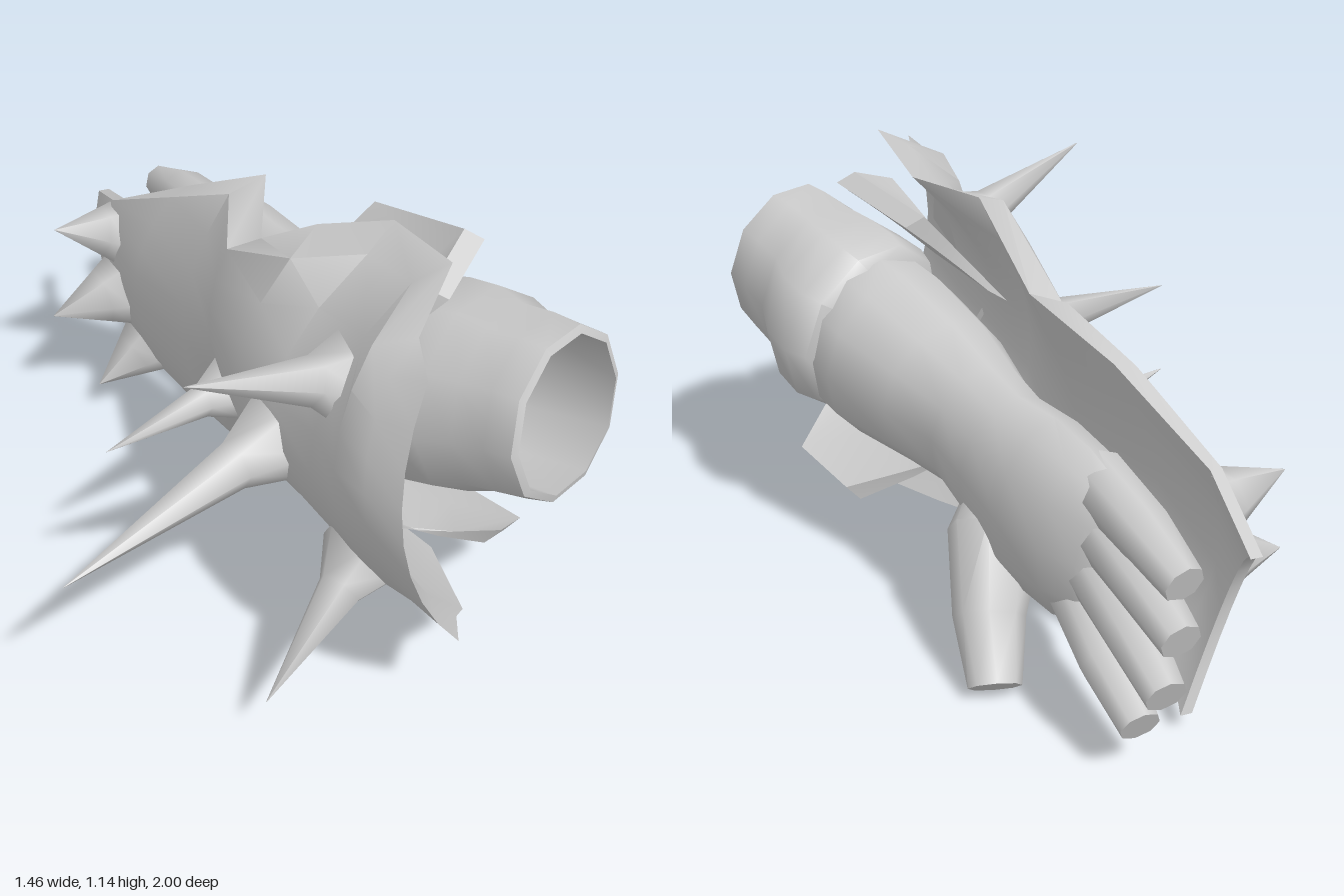
import * as THREE from 'three';
import { toCreasedNormals } from 'three/addons/utils/BufferGeometryUtils.js';

const V = (p) => new THREE.Vector3(...p);
const UP = V([0, 1, 0]);
const material = new THREE.MeshStandardMaterial({ color: 0xcccccc, side: THREE.DoubleSide });

// Skin a list of closed rings and close both ends
function loft(name, rings, crease = 0.9) {
  const n = rings[0].length;
  const positions = rings.flat().flatMap((p) => p.toArray());
  const index = [];
  for (let i = 0; i < rings.length - 1; i++) {
    for (let j = 0; j < n; j++) {
      const a = i * n + j, b = i * n + (j + 1) % n;
      index.push(a, b, b + n, a, b + n, a + n);
    }
  }
  const last = (rings.length - 1) * n;
  // caps are zipped across, so crescent-shaped rings close cleanly
  for (let j = 0; j < n / 2 - 1; j++) {
    const k = n - 1 - j;
    index.push(j, k, k - 1, j, k - 1, j + 1);
    index.push(last + j, last + k - 1, last + k, last + j, last + j + 1, last + k - 1);
  }
  const g = new THREE.BufferGeometry();
  g.setAttribute('position', new THREE.Float32BufferAttribute(positions, 3));
  g.setIndex(index);
  const mesh = new THREE.Mesh(toCreasedNormals(g, crease), material);
  mesh.name = name;
  return mesh;
}

// Elliptical ring around a centre, a = sideways radius, b = upright radius
function ring(c, dir, a, b, sides) {
  const d = dir.clone().normalize();
  const h = new THREE.Vector3().crossVectors(UP, d).normalize();
  const v = new THREE.Vector3().crossVectors(d, h);
  return Array.from({ length: sides }, (_, j) => {
    const t = (j / sides) * Math.PI * 2;
    return c.clone().addScaledVector(h, a * Math.cos(t)).addScaledVector(v, b * Math.sin(t));
  });
}

// Tapered limb through stations [x, y, z, a, b]
function limb(name, stations, sides) {
  const c = stations.map((s) => V(s.slice(0, 3)));
  return loft(name, stations.map((s, i) => {
    const dir = c[Math.min(i + 1, c.length - 1)].clone().sub(c[Math.max(i - 1, 0)]);
    return ring(c[i], dir, s[3], s[4], sides);
  }));
}

// Cone that flares into a boss at its foot
function spike(base, tip, r, flare) {
  const a = V(base), b = V(tip), d = b.clone().sub(a);
  const steps = [[0, flare], [0.25, 0.75], [1, 0.01]];
  return loft('spike', steps.map(([t, k]) => ring(a.clone().addScaledVector(d, t), d, r * k, r * k, 6)), 1.1);
}

// Curved slab: each station is an arch through top, middle and bottom points, then the
// step to its inner face, whose y part spreads the edges away from the middle
function slab(name, stations, n = 8) {
  return loft(name, stations.map(([t, m, b, step]) => {
    const T = V(t), M = V(m), B = V(b);
    const ctrl = M.multiplyScalar(2).addScaledVector(T, -0.5).addScaledVector(B, -0.5);
    const outer = new THREE.QuadraticBezierCurve3(T, ctrl, B).getPoints(n);
    const inner = outer.map((p, j) => p.clone().add(V([step[0], step[1] * (1 - 2 * j / n), step[2]])));
    return [...outer, ...inner.reverse()];
  }), 0.75);
}

export function createModel() {
  const model = new THREE.Group();

  // Open cuff: outer wall up to the lip, then the hollow inside
  const axis = V([0.7, 0.14, 0.7]);
  const cuff = [
    [0.28, 0.64, 0.3, 0.21, 0.23], [0.31, 0.655, 0.32, 0.26, 0.26], [0.35, 0.665, 0.37, 0.285, 0.27],
    [0.41, 0.69, 0.44, 0.275, 0.265], [0.46, 0.72, 0.52, 0.235, 0.24], [0.52, 0.745, 0.59, 0.225, 0.235],
    [0.57, 0.765, 0.65, 0.22, 0.22],
    [0.575, 0.765, 0.655, 0.2, 0.2], [0.45, 0.71, 0.5, 0.19, 0.2], [0.22, 0.63, 0.22, 0.14, 0.15],
  ];
  model.add(loft('cuff', cuff.map(([x, y, z, a, b]) => ring(V([x, y, z]), axis, a, b, 10))));

  // Forearm, wrist and palm
  model.add(limb('forearm', [
    [0.3, 0.64, 0.3, 0.23, 0.25], [0.24, 0.625, 0.21, 0.235, 0.25], [0.11, 0.595, 0.03, 0.2, 0.22],
    [0.02, 0.57, -0.13, 0.15, 0.2], [-0.04, 0.53, -0.25, 0.14, 0.22], [-0.13, 0.49, -0.4, 0.15, 0.26],
    [-0.21, 0.48, -0.54, 0.13, 0.255], [-0.26, 0.465, -0.61, 0.09, 0.225], [-0.28, 0.46, -0.65, 0.05, 0.19],
  ], 12));

  // Fingers: knuckle, joint and tip
  const fingers = [
    [[-0.24, 0.64, -0.54], [-0.335, 0.61, -0.75], [-0.41, 0.56, -0.9]],
    [[-0.235, 0.535, -0.54], [-0.325, 0.505, -0.78], [-0.4, 0.445, -0.955]],
    [[-0.225, 0.425, -0.54], [-0.305, 0.385, -0.8], [-0.37, 0.31, -0.975]],
    [[-0.2, 0.325, -0.52], [-0.265, 0.25, -0.75], [-0.325, 0.175, -0.905]],
  ];
  const sizes = [[0.08, 0.08], [0.075, 0.066], [0.052, 0.054]];
  for (const f of fingers) model.add(limb('finger', f.map((p, i) => [...p, ...sizes[i]]), 8));
  model.add(limb('thumb', [
    [-0.05, 0.47, -0.16, 0.08, 0.1], [-0.01, 0.345, -0.3, 0.125, 0.14],
    [0.01, 0.19, -0.455, 0.095, 0.085], [0, 0.06, -0.58, 0.07, 0.058],
  ], 8));

  // Jagged shell guarding the outside of the arm, with a broad flared rim
  model.add(slab('shell', [
    [[-0.6, 0.58, -0.82], [-0.59, 0.4, -0.66], [-0.48, 0.07, -0.72], [0.03, 0, -0.01]],
    [[-0.54, 0.68, -0.58], [-0.57, 0.42, -0.57], [-0.47, 0.15, -0.56], [0.03, 0, -0.01]],
    [[-0.36, 0.83, -0.32], [-0.48, 0.46, -0.37], [-0.33, 0.15, -0.31], [0.06, 0.02, -0.03]],
    [[-0.2, 0.93, -0.15], [-0.34, 0.48, -0.14], [-0.18, 0.13, -0.1], [0.1, 0.04, -0.03]],
    [[-0.21, 0.85, 0], [-0.25, 0.52, 0.04], [-0.04, 0.24, 0.05], [0.09, 0.03, 0]],
    [[-0.06, 1.03, 0.35], [-0.2, 0.57, 0.33], [0.06, 0.21, 0.27], [0.07, 0.04, -0.09]],
    [[0.12, 1.06, 0.39], [-0.12, 0.6, 0.5], [0.24, 0.19, 0.46], [0.07, 0.05, -0.07]],
    [[0.2, 1.11, 0.6], [-0.03, 0.64, 0.68], [0.27, 0.2, 0.64], [0.09, 0.05, 0]],
    [[0.1, 1.04, 0.74], [0.02, 0.66, 0.82], [0.22, 0.29, 0.76], [0.1, 0.03, 0.02]],
    [[0.13, 1.01, 0.82], [0.08, 0.68, 0.92], [0.23, 0.35, 0.84], [0.075, 0.04, 0.075]],
  ]));

  // Inner flaps above and below the arm
  const down = [0.05, -0.03, 0], up = [0.04, -0.04, 0];
  model.add(slab('upperFlap', [
    [[0.16, 1.06, 0.14], [0.06, 0.95, 0.14], [-0.06, 0.82, 0.13], down],
    [[0.35, 1.11, 0.37], [0.22, 0.98, 0.38], [0.08, 0.84, 0.36], down],
    [[0.25, 1.04, 0.52], [0.18, 0.95, 0.52], [0.1, 0.85, 0.5], down],
  ], 3));
  model.add(slab('lowerFlap', [
    [[0.04, 0.38, 0.14], [0.14, 0.29, 0.17], [0.36, 0.17, 0.2], up],
    [[0.1, 0.4, 0.36], [0.24, 0.31, 0.38], [0.5, 0.2, 0.4], up],
    [[0.14, 0.42, 0.58], [0.25, 0.36, 0.58], [0.42, 0.29, 0.55], up],
  ], 3));

  // Spikes: base, tip, radius, flare
  const spikes = [
    [[0.06, 0.85, 0.6], [-0.31, 1.03, 0.86], 0.08, 1.6],
    [[-0.08, 0.59, 0.44], [-0.6, 0.53, 0.92], 0.085, 1.6],
    [[-0.21, 0.47, 0.08], [-0.53, 0.49, 0.38], 0.06, 1.6],
    [[0.1, 0.37, 0.66], [-0.15, 0.17, 0.95], 0.08, 1.5],
    [[-0.53, 0.58, -0.57], [-0.71, 0.63, -0.5], 0.1, 1],
    [[-0.54, 0.4, -0.53], [-0.73, 0.37, -0.44], 0.11, 1],
    [[-0.46, 0.22, -0.5], [-0.61, 0.13, -0.42], 0.1, 1],
  ];
  for (const s of spikes) model.add(spike(...s));

  return model;
}
